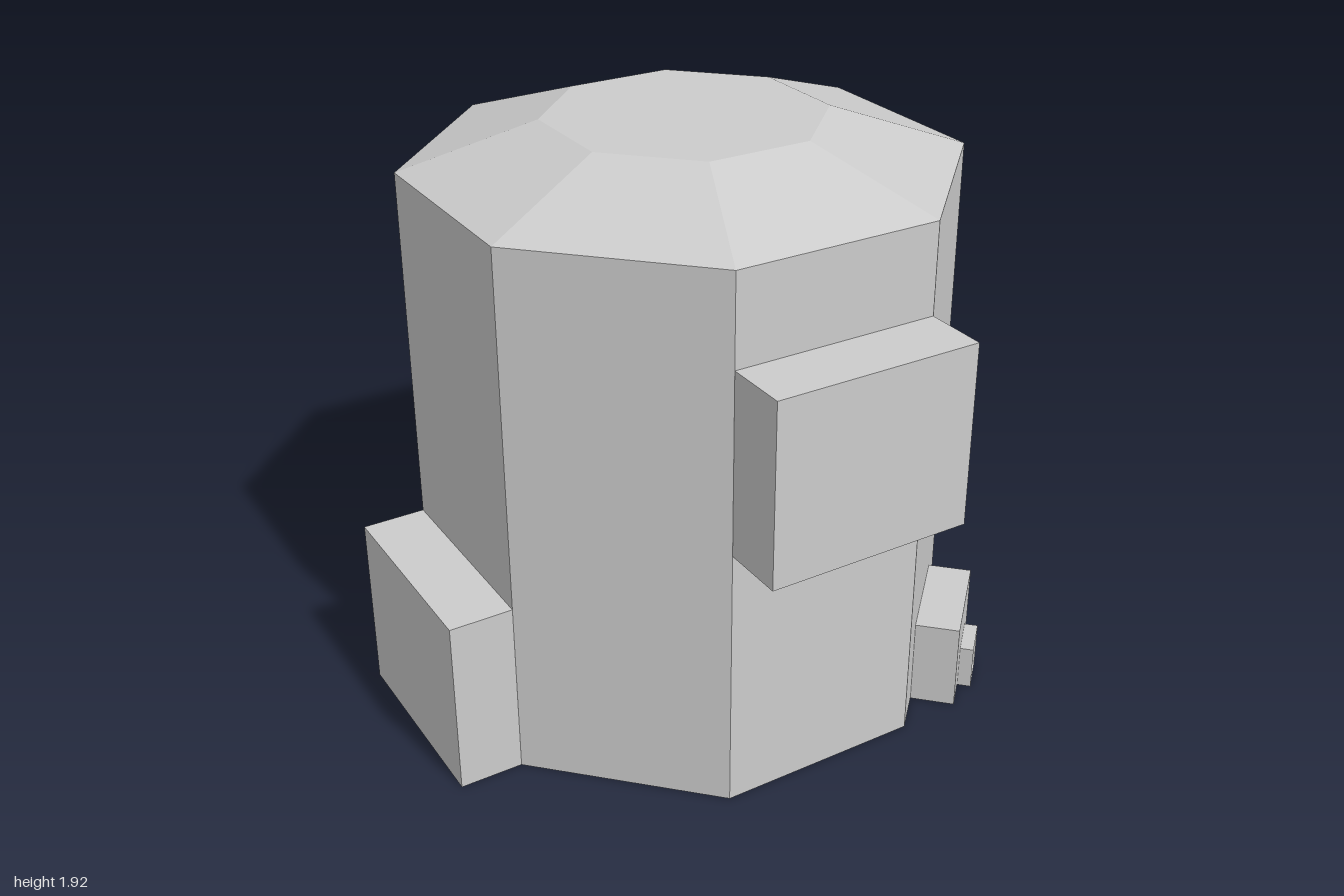
import * as THREE from 'three';

const APOTHEM = 0.82;                       // centre to flat wall
const toRadius = (a) => a / Math.cos(Math.PI / 8);

const grey = new THREE.MeshStandardMaterial({ color: 0xcccccc, flatShading: true });
const thin = new THREE.MeshStandardMaterial({ color: 0xcccccc, flatShading: true, side: THREE.DoubleSide });

function addMesh(parent, name, geometry, material = grey) {
  const mesh = new THREE.Mesh(geometry, material);
  mesh.name = name;
  parent.add(mesh);
  return mesh;
}

// Eight-sided prism or frustum with flat sides facing the axes
function octagon(parent, name, topApothem, bottomApothem, y0, y1) {
  const g = new THREE.CylinderGeometry(toRadius(topApothem), toRadius(bottomApothem), y1 - y0, 8);
  g.rotateY(Math.PI / 8).translate(0, (y0 + y1) / 2, 0);
  return addMesh(parent, name, g);
}

// Box standing out from one wall of the tower
function wallBox(parent, name, angle, width, y0, y1, depth) {
  const g = new THREE.BoxGeometry(width, y1 - y0, depth);
  g.translate(0, (y0 + y1) / 2, APOTHEM + depth / 2);
  addMesh(parent, name, g).rotation.y = angle;
}

// Small porch with a door passage and a thin projecting door hood
function porch(parent, name, angle, width, y, height) {
  const depth = 0.145, hood = 0.045, w = 0.0735, h = 0.15, half = width / 2;
  const group = new THREE.Group();
  group.name = name;
  group.position.y = y;
  group.rotation.y = angle;

  // Porch block, cut through by the doorway
  const outline = new THREE.Shape([
    [-half, 0], [-w, 0], [-w, h], [w, h], [w, 0], [half, 0], [half, height], [-half, height],
  ].map(([px, py]) => new THREE.Vector2(px, py)));
  const block = new THREE.ExtrudeGeometry(outline, { depth, bevelEnabled: false });
  addMesh(group, 'porchBlock', block.translate(0, 0, APOTHEM));

  // Door hood: two jambs and a lintel
  const z = APOTHEM + depth + hood / 2;
  for (const side of [-1, 1]) {
    const jamb = new THREE.PlaneGeometry(hood, h).rotateY(side * Math.PI / 2);
    addMesh(group, 'doorJamb', jamb.translate(side * w, h / 2, z), thin);
  }
  const lintel = new THREE.PlaneGeometry(2 * w, hood).rotateX(-Math.PI / 2);
  addMesh(group, 'doorLintel', lintel.translate(0, h, z), thin);

  // Passage floor
  const length = depth + hood;
  const floor = new THREE.PlaneGeometry(2 * w, length).rotateX(-Math.PI / 2);
  addMesh(group, 'doorFloor', floor.translate(0, 0, APOTHEM + length / 2), thin);
  parent.add(group);
}

export function createModel() {
  const model = new THREE.Group();
  model.name = 'octagonalTower';
  const tower = new THREE.Group();
  tower.name = 'tower';
  tower.position.set(-0.025, 0, 0.03);
  model.add(tower);

  // Main body and sloped roof
  octagon(tower, 'body', APOTHEM, APOTHEM, 0, 1.78);
  octagon(tower, 'roof', 0.415, APOTHEM, 1.78, 1.925);

  // Large blocks filling the width of a wall
  wallBox(tower, 'frontLeftBlock', Math.PI / 4, 0.679, 0.89, 1.485, 0.207);
  wallBox(tower, 'frontRightBlock', -Math.PI / 4, 0.679, 0, 0.595, 0.207);
  wallBox(tower, 'backBlock', Math.PI, 0.679, 0.45, 1.04, 0.207);

  // Entrances
  porch(tower, 'groundPorch', Math.PI / 2, 0.37, 0, 0.297);
  porch(tower, 'upperPorch', Math.PI, 0.44, 1.337, 0.293);

  return model;
}
